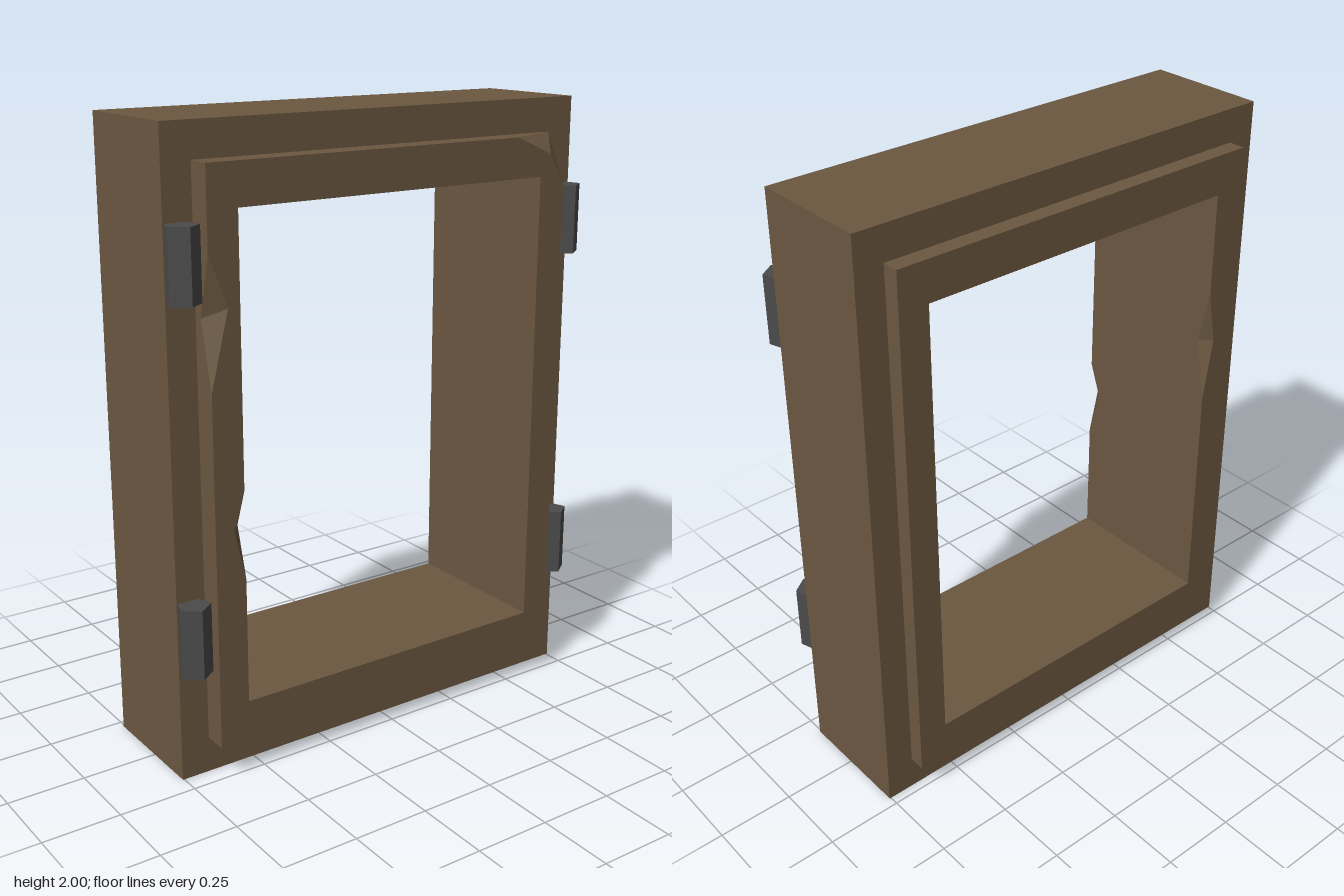
import * as THREE from 'three';
import { mergeGeometries } from 'three/addons/utils/BufferGeometryUtils.js';

const V = (x, y, z) => new THREE.Vector3(x, y, z);

// Flat polygon from a 3D outline (and holes), wound so that it faces `out`.
function face(outline, out, holes = []) {
  const a = [Math.abs(out.x), Math.abs(out.y), Math.abs(out.z)];
  const flat = a[2] >= a[0] && a[2] >= a[1] ? p => new THREE.Vector2(p.x, p.y)
    : a[0] >= a[1] ? p => new THREE.Vector2(p.z, p.y) : p => new THREE.Vector2(p.x, p.z);
  const tris = THREE.ShapeUtils.triangulateShape(outline.map(flat), holes.map(h => h.map(flat)));
  const pts = [...outline, ...holes.flat()];
  const pos = [];
  for (const [i, j, k] of tris) {
    const n = pts[j].clone().sub(pts[i]).cross(pts[k].clone().sub(pts[i]));
    const order = n.dot(out) >= 0 ? [i, j, k] : [i, k, j];
    order.forEach(q => pos.push(...pts[q].toArray()));
  }
  const g = new THREE.BufferGeometry();
  g.setAttribute('position', new THREE.Float32BufferAttribute(pos, 3));
  g.computeVertexNormals();
  return g;
}

export function createModel() {
  const model = new THREE.Group();
  const wood = new THREE.MeshStandardMaterial({ color: 0x6b5841 });
  const iron = new THREE.MeshStandardMaterial({ color: 0x4b4b4b });
  const add = (name, geometry, material) => {
    const mesh = new THREE.Mesh(geometry, material);
    mesh.name = name;
    model.add(mesh);
    return mesh;
  };

  const W = 0.755, H = 2, zf = 0.185, zb = -0.22;   // main frame
  const X = 0.66, Y0 = 0.115, Y1 = 1.89;            // raised trim
  const x = 0.56, y0 = 0.245, y1 = 1.76;            // opening
  const F = 0.265, B = -0.275;                      // trim front and back

  // Main frame, open where the trim passes through
  const rect = (T, w, a, b) => new T([[-w, a], [w, a], [w, b], [-w, b]].map(p => new THREE.Vector2(...p)));
  const shape = rect(THREE.Shape, W, 0, H);
  shape.holes.push(rect(THREE.Path, X, Y0, Y1));
  add('frame', new THREE.ExtrudeGeometry(shape, { depth: zf - zb, bevelEnabled: false }).translate(0, 0, zb), wood);

  // Edge chips: ends on the edge, one dent in the flat face, one in the side
  const chip = (ex, z, lo, hi, fx, fy, sy, sz) => ({
    lo: V(ex, lo, z), hi: V(ex, hi, z), flat: V(fx, fy, z), side: V(ex, sy, sz),
  });
  const outerL = chip(-X, F, 1.24, 1.64, -0.6, 1.48, 1.45, 0.215);
  const outerR = chip(X, F, 1.27, 1.53, 0.62, 1.42, 1.4, 0.19);
  const innerF = chip(-x, F, 0.65, 0.93, -0.597, 0.81, 0.81, 0.22);
  const innerB = chip(-x, B, 1.03, 1.42, -0.593, 1.24, 1.24, -0.235);
  const cutFaces = (c, out) => [face([c.lo, c.flat, c.side], out), face([c.flat, c.hi, c.side], out)];

  // Broken upper corner
  const cTop = V(0.46, Y1, F), cMid = V(0.6, 1.83, F), cLow = V(X, 1.73, F), cDeep = V(X, Y1, zf);

  const px = V(1, 0, 0), nx = V(-1, 0, 0), py = V(0, 1, 0), ny = V(0, -1, 0), pz = V(0, 0, 1), nz = V(0, 0, -1);
  const ring = (w, a, b, z) => [V(-w, a, z), V(w, a, z), V(w, b, z), V(-w, b, z)];
  const parts = [
    // front and back faces
    face([V(-X, Y0, F), V(X, Y0, F), outerR.lo, outerR.flat, outerR.hi, cLow, cMid, cTop,
      V(-X, Y1, F), outerL.hi, outerL.flat, outerL.lo], pz,
    [[V(-x, y0, F), V(x, y0, F), V(x, y1, F), V(-x, y1, F), innerF.hi, innerF.flat, innerF.lo]]),
    face(ring(X, Y0, Y1, B), nz,
      [[V(-x, y0, B), V(x, y0, B), V(x, y1, B), V(-x, y1, B), innerB.hi, innerB.flat, innerB.lo]]),
    // outer edges, front
    face([V(X, Y0, zf), V(X, Y0, F), outerR.lo, outerR.side, outerR.hi, cLow, cDeep], px),
    face([V(-X, Y0, zf), V(-X, Y0, F), outerL.lo, outerL.side, outerL.hi, V(-X, Y1, F), V(-X, Y1, zf)], nx),
    face([V(-X, Y1, zf), V(-X, Y1, F), cTop, cDeep], py),
    face([V(-X, Y0, zf), V(-X, Y0, F), V(X, Y0, F), V(X, Y0, zf)], ny),
    // outer edges, back
    face([V(X, Y0, zb), V(X, Y0, B), V(X, Y1, B), V(X, Y1, zb)], px),
    face([V(-X, Y0, zb), V(-X, Y0, B), V(-X, Y1, B), V(-X, Y1, zb)], nx),
    face([V(-X, Y1, zb), V(-X, Y1, B), V(X, Y1, B), V(X, Y1, zb)], py),
    face([V(-X, Y0, zb), V(-X, Y0, B), V(X, Y0, B), V(X, Y0, zb)], ny),
    // walls of the opening
    face([V(x, y0, B), V(x, y0, F), V(x, y1, F), V(x, y1, B)], nx),
    face([V(-x, y0, B), V(-x, y0, F), innerF.lo, innerF.side, innerF.hi, V(-x, y1, F),
      V(-x, y1, B), innerB.hi, innerB.side, innerB.lo], px),
    face([V(-x, y0, B), V(-x, y0, F), V(x, y0, F), V(x, y0, B)], py),
    face([V(-x, y1, B), V(-x, y1, F), V(x, y1, F), V(x, y1, B)], ny),
    // chipped surfaces
    ...cutFaces(outerL, V(-1, 0, 1.1)),
    ...cutFaces(outerR, V(1, 0, 1.1)),
    ...cutFaces(innerF, V(1, 0, 1.1)),
    ...cutFaces(innerB, V(1, 0, -1.1)),
    face([cTop, cMid, cDeep], V(1, 1, 1.1)),
    face([cMid, cLow, cDeep], V(1, 1, 1.1)),
  ];
  add('trim', mergeGeometries(parts), wood);

  // Five-sided hinge barrels
  const barrel = new THREE.CylinderGeometry(0.054, 0.054, 0.223, 5).toNonIndexed();
  barrel.computeVertexNormals();
  for (const [side, hx] of [['left', 0.711], ['right', -0.715]])
    for (const [level, hy] of [['upper', 1.61], ['lower', 0.477]])
      add(`${side} ${level} hinge`, barrel, iron).position.set(hx, hy, 0.217);

  return model;
}
